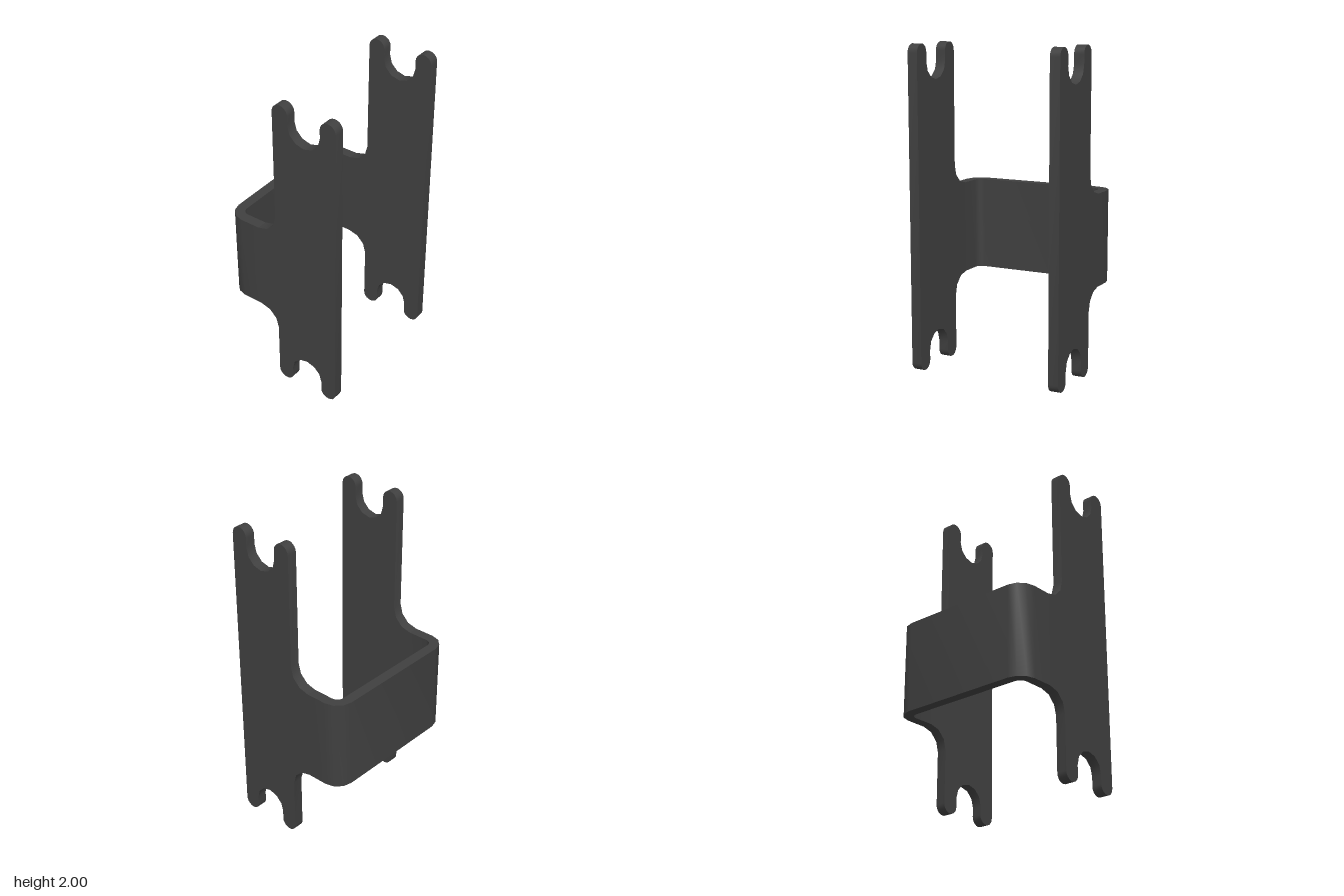
import * as THREE from 'three';
import { toCreasedNormals } from 'three/addons/utils/BufferGeometryUtils.js';

const OUT = 0.495, T = 0.064;            // outer half width, sheet thickness
const FRONT = 0.4, REAR = -0.03;         // plate edges in z
const JOIN = -0.16, BACK = -0.4;         // start of the strap legs, back face
const LOW = 0.52, HIGH = 1.1;            // strap bottom and top

// Points along an arc, angles in degrees
function arc(cx, cy, r, from, to, n) {
  return Array.from({ length: n + 1 }, (_, i) => {
    const a = THREE.MathUtils.degToRad(from + (to - from) * i / n);
    return new THREE.Vector2(cx + r * Math.cos(a), cy + r * Math.sin(a));
  });
}

function extrude(points, depth) {
  return new THREE.ExtrudeGeometry(new THREE.Shape(points), { depth, bevelEnabled: false });
}

export function createModel() {
  const group = new THREE.Group();
  const material = new THREE.MeshStandardMaterial({ color: 0x404040 });
  const add = (name, geometry) => {
    const mesh = new THREE.Mesh(toCreasedNormals(geometry, 0.7), material);
    mesh.name = name;
    group.add(mesh);
  };

  // Side plate outline (z, y): rounded prongs, scooped ends, filleted neck
  const ear = 0.053, scoop = 0.11, fillet = REAR - JOIN;
  const mid = (FRONT + REAR) / 2;
  const outline = [
    ...arc(FRONT - ear, ear, ear, 0, -180, 10).reverse(),
    ...arc(REAR + ear, ear, ear, 0, -180, 10).reverse(),
  ];
  const bottom = [
    ...outline.slice(11),
    ...arc(mid, 0.11, scoop, 180, 0, 6),
    ...outline.slice(0, 11),
  ];
  const top = bottom.map(p => new THREE.Vector2(p.x, 2 - p.y)).reverse();
  const plate = [
    ...bottom,
    ...top,
    ...arc(JOIN, HIGH + fillet, fillet, 0, -90, 3),
    ...arc(JOIN, LOW - fillet, fillet, 90, 0, 3),
  ];
  for (const [name, x] of [['leftSidePlate', OUT], ['rightSidePlate', T - OUT]]) {
    add(name, extrude(plate, T).rotateY(-Math.PI / 2).translate(x, 0, 0));
  }

  // U-shaped rear strap with rounded bends, drawn in plan (x, -z)
  const R = 0.108, cx = OUT - R, cy = -BACK - R;
  const strap = [
    new THREE.Vector2(OUT, -JOIN),
    ...arc(cx, cy, R, 0, 90, 3),
    ...arc(-cx, cy, R, 90, 180, 3),
    new THREE.Vector2(-OUT, -JOIN),
    new THREE.Vector2(T - OUT, -JOIN),
    ...arc(-cx, cy, R - T, 180, 90, 4),
    ...arc(cx, cy, R - T, 90, 0, 4),
    new THREE.Vector2(OUT - T, -JOIN),
  ];
  add('rearStrap', extrude(strap, HIGH - LOW).rotateX(-Math.PI / 2).translate(0, LOW, 0));

  return group;
}
